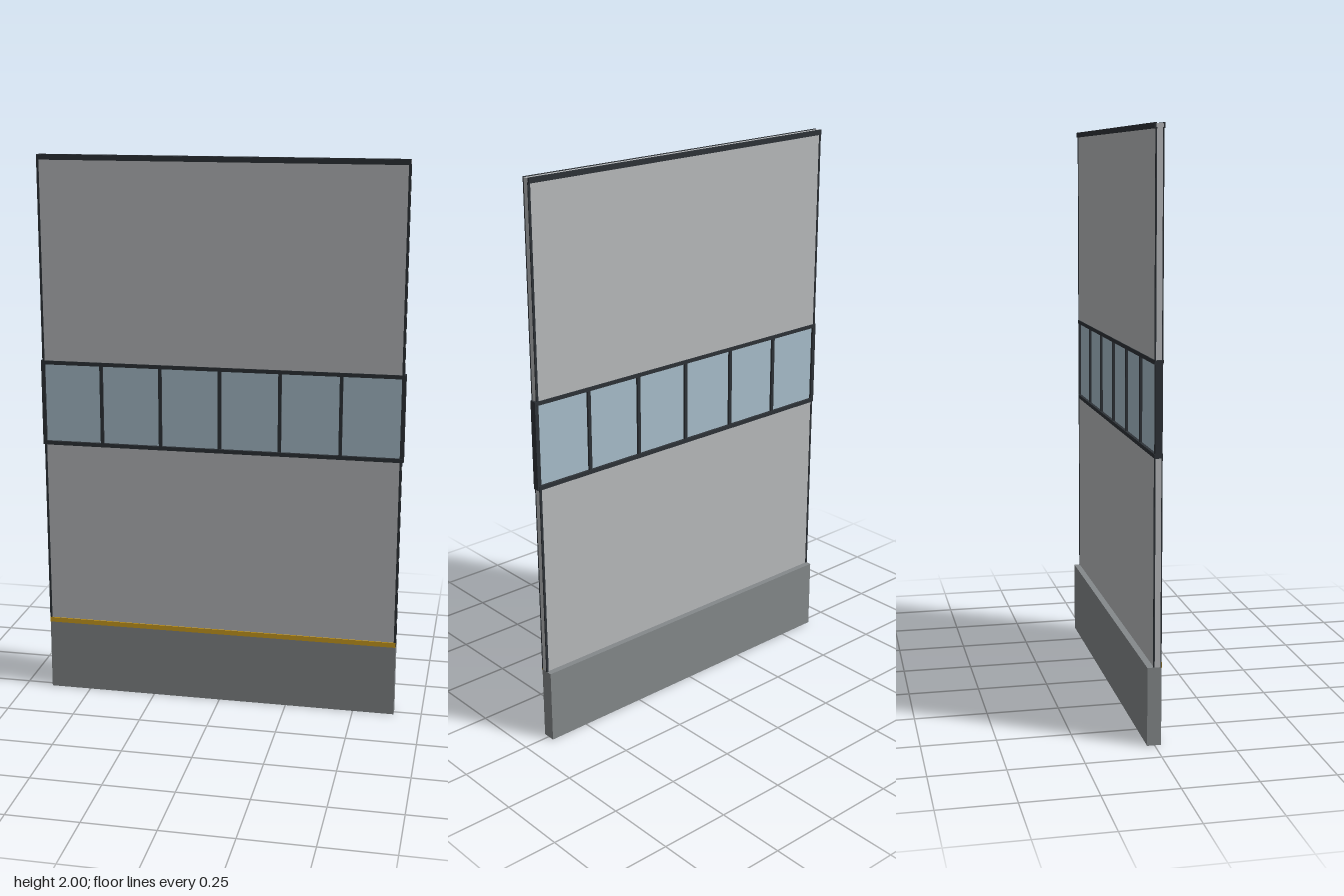
import * as THREE from 'three';

const material = (color) => new THREE.MeshStandardMaterial({ color });

export function createModel() {
  const group = new THREE.Group();
  const panelMat = material(0xb9bbbd);
  const frameMat = material(0x2e3338);
  const glassMat = material(0xa9bfcc);
  const baseMat = material(0x85898b);
  const stripMat = material(0xd0a020);

  // Box given by its extents on each axis
  function box(name, mat, [x0, x1], [y0, y1], [z0, z1]) {
    const mesh = new THREE.Mesh(new THREE.BoxGeometry(x1 - x0, y1 - y0, z1 - z0), mat);
    mesh.position.set((x0 + x1) / 2, (y0 + y1) / 2, (z0 + z1) / 2);
    mesh.name = name;
    group.add(mesh);
  }

  const W = 0.65;
  const panelZ = [-0.003, 0.02];
  const winY = [0.955, 1.268];

  // Plinth and the coloured strip along its front top edge
  box('plinth', baseMat, [-W, W], [0, 0.265], [-0.025, 0.022]);
  box('accentStrip', stripMat, [-W, W], [0.262, 0.28], [0.019, 0.024]);

  // Wall panels below and above the window band
  box('lowerPanel', panelMat, [-W, W], [0.265, winY[0]], panelZ);
  box('upperPanel', panelMat, [-W, W], [winY[1], 1.998], panelZ);

  // Dark rails along the top edge and the vertical edges, on both faces
  for (const [side, z] of [['front', [0.019, 0.025]], ['back', [-0.009, -0.002]]]) {
    box(side + 'TopRail', frameMat, [-W, W], [1.982, 2], z);
  }
  for (const [side, z] of [['front', [0.018, 0.022]], ['back', [-0.005, -0.001]]]) {
    for (const s of [-1, 1]) {
      const x = s < 0 ? [-W - 0.001, -W + 0.007] : [W - 0.007, W + 0.001];
      box(side + 'LowerEdgeTrim', frameMat, x, [0.265, winY[0]], z);
      box(side + 'UpperEdgeTrim', frameMat, x, [winY[1], 1.985], z);
    }
  }

  // Window band: glass, horizontal rails, end posts and mullions
  box('glass', glassMat, [-W, W], winY, [0.004, 0.013]);
  box('windowSill', frameMat, [-W - 0.003, W + 0.003], [winY[0], winY[0] + 0.014], [-0.006, 0.023]);
  box('windowHead', frameMat, [-W - 0.003, W + 0.003], [winY[1] - 0.014, winY[1]], [-0.006, 0.023]);
  for (let i = 0; i <= 6; i++) {
    const x = -W + (i * 2 * W) / 6;
    const end = i === 0 || i === 6;
    const half = end ? 0.007 : 0.006;
    box(end ? 'windowPost' : 'mullion', frameMat, [x - half, x + half], winY, [-0.004, 0.02]);
  }

  return group;
}
